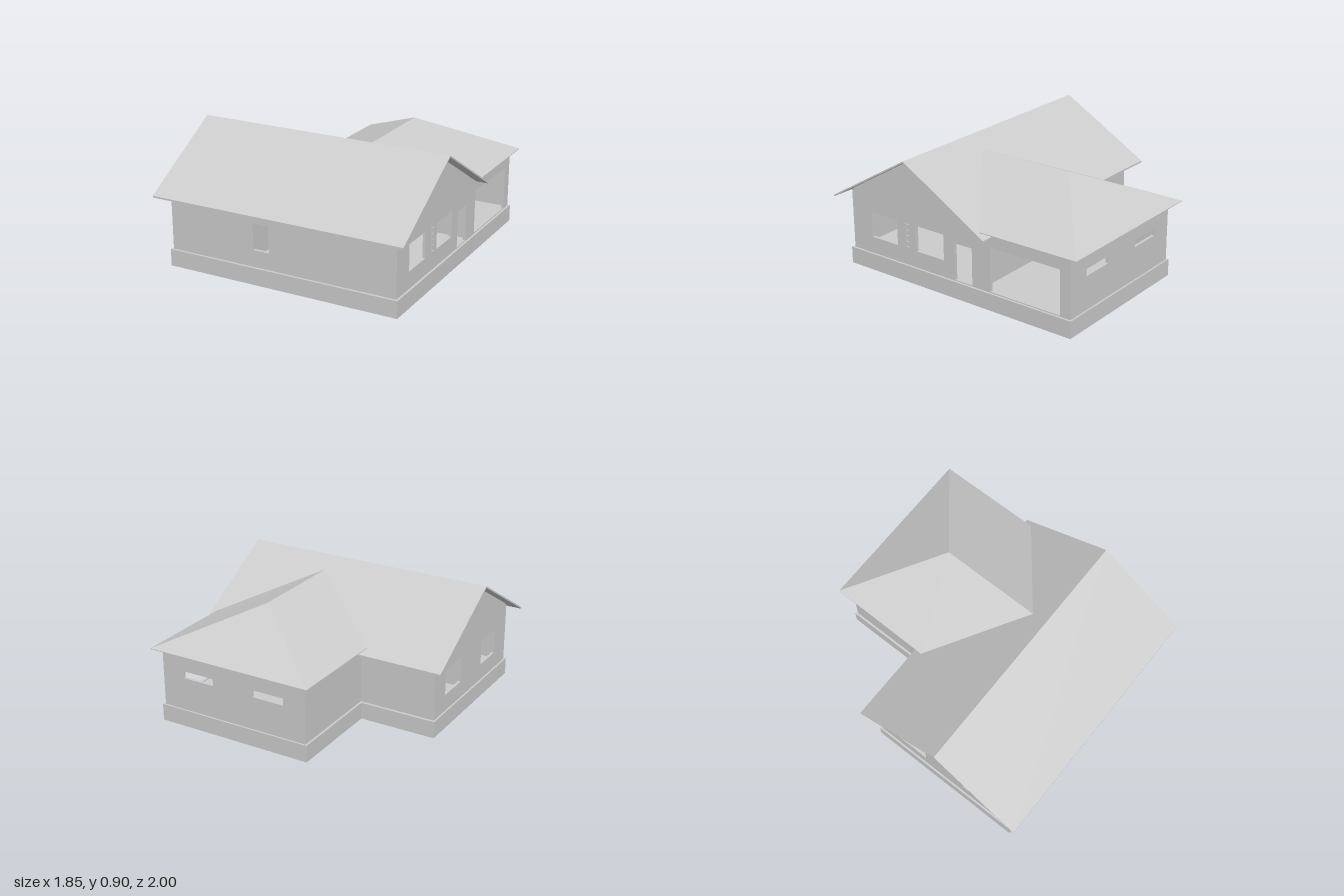
import * as THREE from 'three';

const plaster = new THREE.MeshStandardMaterial({ color: 0xcccccc, side: THREE.DoubleSide });
plaster.name = 'light grey';

const T = 0.02;      // wall thickness
const BASE = 0.12;   // top of the plinth
const EAVE = 0.55;   // top of the walls

function add(group, name, geometry) {
  const mesh = new THREE.Mesh(geometry, plaster);
  mesh.name = name;
  group.add(mesh);
  return mesh;
}

const vectors = (points) => points.map(([u, v]) => new THREE.Vector2(u, v));
const extrude = (shape, depth) => new THREE.ExtrudeGeometry(shape, { depth, bevelEnabled: false });

// Upright panel with rectangular openings [u0, u1, y0, y1]
function panel(points, openings, depth = T) {
  const shape = new THREE.Shape(vectors(points));
  for (const [a, b, c, d] of openings) {
    shape.holes.push(new THREE.Path(vectors([[a, c], [a, d], [b, d], [b, c]])));
  }
  return extrude(shape, depth);
}

// Wall in the x direction, starting at depth z
function wallX(group, name, x0, x1, z, openings = []) {
  add(group, name, panel([[x0, BASE], [x1, BASE], [x1, EAVE], [x0, EAVE]], openings)).position.z = z;
}

// Piece with a free [z, y] profile, starting at x and running along +x
function profileZ(group, name, profile, x, openings = [], depth = T) {
  const g = panel(profile.map(([z, y]) => [-z, y]), openings.map(([a, b, c, d]) => [-a, -b, c, d]), depth);
  add(group, name, g.rotateY(Math.PI / 2)).position.x = x;
}

const rect = (z0, z1) => [[z0, BASE], [z1, BASE], [z1, EAVE], [z0, EAVE]];

// Plan of the L-shaped house, drawn inwards by d, as [x, -z]
const plan = (d) => vectors([
  [-0.853 + d, -0.928 + d], [0.853 - d, -0.928 + d], [0.853 - d, 0.943 - d],
  [-0.3 + d, 0.943 - d], [-0.3 + d, 0.24 - d], [-0.853 + d, 0.24 - d],
]);

// Thin sloping slab: a convex polygon with a copy dropped below it
function slab(points, drop) {
  const pos = [];
  const n = points.length;
  const low = points.map(([x, y, z]) => [x, y - drop, z]);
  for (let i = 1; i < n - 1; i++) {
    pos.push(...points[0], ...points[i], ...points[i + 1]);
    pos.push(...low[0], ...low[i + 1], ...low[i]);
  }
  for (let i = 0; i < n; i++) {
    const j = (i + 1) % n;
    pos.push(...points[i], ...low[i], ...low[j], ...points[i], ...low[j], ...points[j]);
  }
  const g = new THREE.BufferGeometry();
  g.setAttribute('position', new THREE.Float32BufferAttribute(pos, 3));
  g.computeVertexNormals();
  return g;
}

export function createModel() {
  const house = new THREE.Group();
  house.name = 'house';

  // Hollow plinth skirt with the floor laid in its top
  const skirt = new THREE.Shape(plan(0));
  skirt.holes.push(new THREE.Path(plan(0.016)));
  add(house, 'plinthSkirt', extrude(skirt, BASE).rotateX(-Math.PI / 2));
  add(house, 'floor', extrude(new THREE.Shape(plan(0.016)), 0.012).rotateX(-Math.PI / 2)).position.y = BASE - 0.012;

  // Outer walls
  const walls = new THREE.Group();
  walls.name = 'outerWalls';
  house.add(walls);
  wallX(walls, 'frontWall', -0.84, 0.837, 0.89, [[-0.2, -0.08, 0.24, 0.425]]);
  wallX(walls, 'mainBackWall', -0.84, 0.837, -0.22);
  wallX(walls, 'wingBackWall', -0.284, 0.837, -0.93, [[0.43, 0.67, 0.355, 0.405], [-0.12, 0.12, 0.355, 0.405]]);
  profileZ(walls, 'wingSideWall', rect(-0.93, -0.2), -0.284);
  profileZ(walls, 'rightWall', rect(-0.93, 0.91), 0.817, [
    [0.5, 0.735, 0.24, 0.425],
    [0.09, 0.33, 0.24, 0.425],
    [-0.15, -0.005, 0.127, 0.39],
    [-0.85, -0.3, 0.127, 0.44],
  ]);
  profileZ(walls, 'leftWall', rect(-0.22, 0.91), -0.84, [
    [-0.06, 0.18, 0.24, 0.425],
    [0.5, 0.73, 0.24, 0.425],
  ]);

  // Inner walls with doorways
  const rooms = new THREE.Group();
  rooms.name = 'innerWalls';
  house.add(rooms);
  wallX(rooms, 'hallWall', -0.27, 0.28, 0.6);
  wallX(rooms, 'bedroomWall', -0.82, -0.27, 0.33);
  profileZ(rooms, 'bedroomSideWall', rect(-0.2, 0.89), -0.29, [
    [0.03, 0.245, 0.127, 0.395],
    [0.43, 0.535, 0.127, 0.395],
  ]);
  profileZ(rooms, 'entranceWall', rect(0.61, 0.89), 0.26);

  // Ceiling band and gable triangles above the main walls
  profileZ(house, 'mainCeiling', [[0.91, EAVE], [0.847, 0.6], [-0.157, 0.6], [-0.22, EAVE]], -0.84, [], 1.677);
  for (const x of [-0.84, 0.817]) {
    profileZ(house, 'gable', [[0.847, 0.6], [0.345, 0.889], [-0.157, 0.6]], x);
  }

  // Gabled main roof
  const th = 0.012;
  profileZ(house, 'mainRoof', [
    [1, 0.515], [0.345, 0.9], [-0.315, 0.515],
    [-0.315, 0.515 - th], [0.345, 0.9 - th], [1, 0.515 - th],
  ], -0.923, [], 1.846);

  // Hipped wing roof running into the main roof, with a flat soffit
  const wingRoof = new THREE.Group();
  wingRoof.name = 'wingRoof';
  house.add(wingRoof);
  const peak = [0.27, 0.83, -0.5], ridgeEnd = [0.27, 0.83, 0.225];
  const backR = [0.882, EAVE, -1], backL = [-0.342, EAVE, -1];
  const valleyR = [0.888, EAVE, -0.247], valleyL = [-0.348, EAVE, -0.247];
  add(wingRoof, 'rightSlope', slab([backR, peak, ridgeEnd, valleyR], 0.005));
  add(wingRoof, 'leftSlope', slab([valleyL, ridgeEnd, peak, backL], 0.005));
  add(wingRoof, 'hipEnd', slab([backL, peak, backR], 0.005));
  add(wingRoof, 'soffit', slab([backL, valleyL, valleyR, backR], 0.005));

  // Small wall rack between the right windows
  const rack = new THREE.Group();
  rack.name = 'wallRack';
  house.add(rack);
  add(rack, 'rackBar', new THREE.BoxGeometry(0.008, 0.17, 0.006)).position.set(0.842, 0.335, 0.417);
  for (let i = 0; i < 5; i++) {
    add(rack, 'rackRung', new THREE.BoxGeometry(0.008, 0.006, 0.03)).position.set(0.842, 0.253 + i * 0.041, 0.403);
  }
  return house;
}
